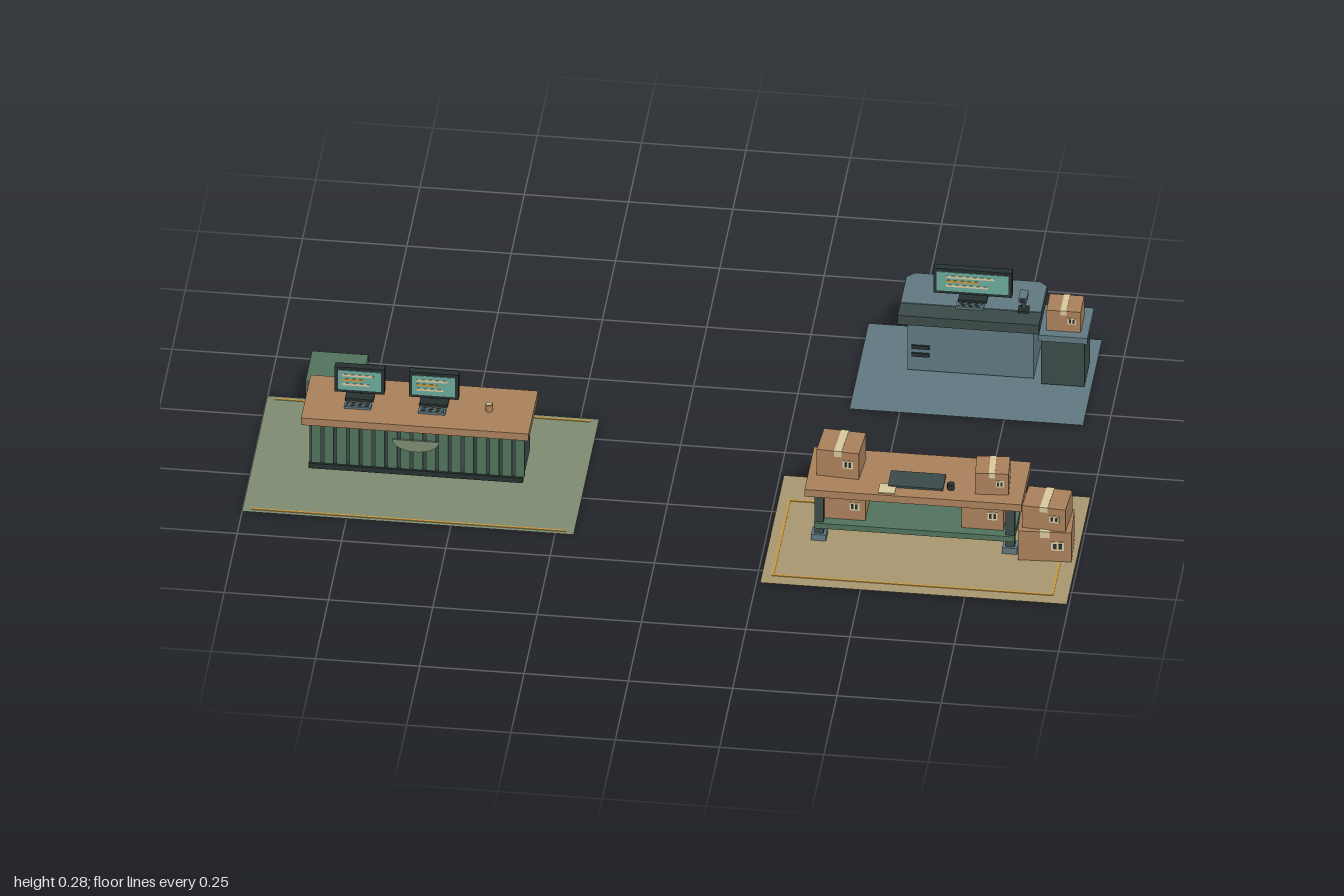
import * as THREE from 'three';

const mat = (name, color, side = THREE.FrontSide) => {
  const m = new THREE.MeshStandardMaterial({ color, side });
  m.name = name;
  return m;
};

export function createModel() {
  const root = new THREE.Group();
  root.name = 'workstations';
  const D = THREE.DoubleSide;
  const sage = mat('sage', 0x7d8a70, D), sand = mat('sand', 0xa8956f, D), slate = mat('slate', 0x5f7880, D);
  const charcoal = mat('charcoal', 0x3a4a48), forest = mat('forest', 0x50725c), wood = mat('wood', 0xa9805a);
  const cream = mat('cream', 0xd6c79c), teal = mat('teal', 0x6aa89b), amber = mat('amber', 0xc8973c);
  const black = mat('black', 0x26312f);

  const group = (name, parent = root) => {
    const g = new THREE.Group();
    g.name = name;
    parent.add(g);
    return g;
  };
  const add = (parent, name, geo, m, x = 0, y = 0, z = 0) => {
    const mesh = new THREE.Mesh(geo, m);
    mesh.name = name;
    mesh.position.set(x, y, z);
    parent.add(mesh);
    return mesh;
  };
  // Box given by its limits on each axis
  const block = (p, name, m, x0, x1, y0, y1, z0, z1) =>
    add(p, name, new THREE.BoxGeometry(x1 - x0, y1 - y0, z1 - z0), m, (x0 + x1) / 2, (y0 + y1) / 2, (z0 + z1) / 2);
  const rod = (p, name, m, r, h, x, y, z, n = 12) => add(p, name, new THREE.CylinderGeometry(r, r, h, n), m, x, y + h / 2, z);
  const floorMat = (p, m, x0, x1, z0, z1) =>
    add(p, 'floorMat', new THREE.PlaneGeometry(x1 - x0, z1 - z0).rotateX(-Math.PI / 2), m, (x0 + x1) / 2, 0.003, (z0 + z1) / 2);

  // Monitor on a stand; y is the desk surface
  const monitor = (p, x, y, z, w, bottom, top) => {
    const g = group('monitor', p);
    g.position.set(x, y, z);
    const h = top - bottom, c = (top + bottom) / 2 - y;
    block(g, 'monitorFoot', black, -0.034, 0.034, 0, 0.006, -0.022, 0.018);
    block(g, 'monitorNeck', black, -0.009, 0.009, 0.006, c, -0.016, -0.007);
    block(g, 'monitorBack', charcoal, -w * 0.2, w * 0.2, c - h * 0.28, c + h * 0.28, -0.02, -0.008);
    block(g, 'monitorCase', black, -w / 2, w / 2, c - h / 2, c + h / 2, -0.008, 0.011);
    block(g, 'screen', teal, -w / 2 + 0.008, w / 2 - 0.008, c - h / 2 + 0.008, c + h / 2 - 0.008, 0.01, 0.0125);
    [0.62, 0.42, 0.54].forEach((len, i) => {
      const yy = c + h * (0.2 - i * 0.18);
      block(g, 'screenLine', i === 1 ? amber : cream, -w * 0.34, w * (len - 0.34), yy - 0.003, yy + 0.003, 0.012, 0.0135);
    });
  };

  const keyboard = (p, x, y, z, w, d) => {
    block(p, 'keyboard', slate, x - w / 2, x + w / 2, y, y + 0.006, z - d / 2, z + d / 2);
    for (let i = -1; i <= 1; i++)
      block(p, 'keyRow', charcoal, x - w * 0.44, x + w * 0.44, y + 0.006, y + 0.0068, z + i * d * 0.27 - 0.0015, z + i * d * 0.27 + 0.0015);
  };

  // Taped carton with a front label
  const carton = (p, x, y, z, w, h, d, turn = 0) => {
    const g = group('carton', p);
    g.position.set(x, y, z);
    g.rotation.y = turn;
    block(g, 'cartonBody', wood, -w / 2, w / 2, 0, h, -d / 2, d / 2);
    block(g, 'cartonTape', cream, -w * 0.09, w * 0.09, h, h + 0.0015, -d / 2, d / 2);
    for (const s of [-1, 1])
      block(g, 'tapeEnd', cream, -w * 0.09, w * 0.09, h * 0.8, h + 0.0015, s * d / 2 - 0.0012, s * d / 2 + 0.0012);
    block(g, 'label', cream, w * 0.12, w * 0.36, h * 0.38, h * 0.68, d / 2, d / 2 + 0.0015);
    block(g, 'labelMark', black, w * 0.16, w * 0.22, h * 0.44, h * 0.62, d / 2 + 0.001, d / 2 + 0.0025);
    block(g, 'labelMark', black, w * 0.26, w * 0.32, h * 0.44, h * 0.62, d / 2 + 0.001, d / 2 + 0.0025);
  };

  // Reception desk
  const rec = group('receptionDesk');
  floorMat(rec, sage, -1, -0.205, -0.08, 0.41);
  for (const z of [-0.068, 0.397]) block(rec, 'matStripe', amber, -0.98, -0.225, 0.003, 0.0045, z - 0.003, z + 0.003);
  block(rec, 'deskBody', charcoal, -0.862, -0.352, 0.009, 0.123, 0.073, 0.213);
  block(rec, 'frontPanel', charcoal, -0.862, -0.352, 0.009, 0.143, 0.205, 0.215);
  for (let i = 0; i < 17; i++) {
    const x = -0.846 + i * 0.0305;
    block(rec, 'slat', forest, x - 0.0115, x + 0.0115, 0.028, 0.136, 0.214, 0.221);
  }
  block(rec, 'kickStrip', black, -0.864, -0.35, 0.012, 0.026, 0.213, 0.223);
  // Half-round badge
  const half = new THREE.Shape();
  half.absellipse(0, 0, 0.056, 0.032, Math.PI, Math.PI * 2, false);
  half.closePath();
  add(rec, 'badge', new THREE.ExtrudeGeometry(half, { depth: 0.004, bevelEnabled: false, curveSegments: 16 }), sage, -0.607, 0.113, 0.221);
  block(rec, 'deskTop', wood, -0.88, -0.335, 0.143, 0.163, 0.052, 0.235);
  for (const x of [-0.752, -0.574]) {
    monitor(rec, x, 0.163, 0.13, 0.119, 0.182, 0.253);
    keyboard(rec, x, 0.163, 0.17, 0.065, 0.024);
  }
  rod(rec, 'cup', wood, 0.009, 0.018, -0.44, 0.163, 0.147);
  rod(rec, 'cupFill', cream, 0.006, 0.001, -0.44, 0.181, 0.147);

  // Drawer cabinet behind the reception desk
  const cab = group('drawerCabinet');
  block(cab, 'cabinetBody', forest, -0.9, -0.765, 0.004, 0.104, -0.134, -0.006);
  for (let i = 0; i < 3; i++) {
    const y = 0.012 + i * 0.03;
    block(cab, 'drawerFront', wood, -0.896, -0.769, y, y + 0.027, -0.006, -0.002);
    block(cab, 'drawerHandle', black, -0.845, -0.82, y + 0.012, y + 0.017, -0.002, 0.004);
  }

  // Packing bench
  const pack = group('packingBench');
  floorMat(pack, sand, 0.26, 0.995, 0.1, 0.555);
  for (const x of [0.286, 0.956]) block(pack, 'matLine', amber, x - 0.003, x + 0.003, 0.003, 0.0045, 0.2, 0.523);
  for (const z of [0.203, 0.52]) block(pack, 'matLine', amber, 0.286, 0.956, 0.003, 0.0045, z - 0.003, z + 0.003);
  block(pack, 'benchTop', wood, 0.345, 0.865, 0.141, 0.161, 0.2, 0.382);
  for (const x of [0.376, 0.834]) {
    for (const z of [0.24, 0.345]) {
      block(pack, 'benchLeg', charcoal, x - 0.011, x + 0.011, 0.02, 0.141, z - 0.011, z + 0.011);
      block(pack, 'benchFoot', slate, x - 0.018, x + 0.018, 0.001, 0.02, z - 0.017, z + 0.017);
      block(pack, 'footPad', black, x - 0.014, x + 0.014, 0, 0.002, z - 0.013, z + 0.013);
    }
    block(pack, 'sideRail', charcoal, x - 0.007, x + 0.007, 0.125, 0.141, 0.24, 0.345);
  }
  for (const z of [0.24, 0.345]) block(pack, 'topRail', charcoal, 0.376, 0.834, 0.126, 0.141, z - 0.006, z + 0.006);
  block(pack, 'lowerShelf', forest, 0.365, 0.845, 0.038, 0.053, 0.215, 0.362);
  carton(pack, 0.435, 0.053, 0.29, 0.1, 0.074, 0.095);
  carton(pack, 0.766, 0.053, 0.29, 0.1, 0.074, 0.095);
  carton(pack, 0.42, 0.161, 0.276, 0.102, 0.074, 0.09, -0.07);
  carton(pack, 0.787, 0.161, 0.311, 0.08, 0.06, 0.074, 0.07);
  carton(pack, 0.918, 0.005, 0.333, 0.128, 0.083, 0.1, 0.05);
  carton(pack, 0.92, 0.088, 0.331, 0.105, 0.063, 0.085, -0.07);
  block(pack, 'cuttingMat', charcoal, 0.54, 0.672, 0.161, 0.166, 0.283, 0.347);
  block(pack, 'paper', cream, 0.52, 0.56, 0.161, 0.164, 0.337, 0.376);
  rod(pack, 'tapeRoll', black, 0.009, 0.015, 0.69, 0.161, 0.335);

  // Service counter
  const serv = group('serviceCounter');
  floorMat(serv, slate, 0.38, 0.94, -0.56, -0.197);
  block(serv, 'counterBody', slate, 0.498, 0.8, 0.009, 0.161, -0.51, -0.37);
  for (const y of [0.05, 0.072]) block(serv, 'vent', black, 0.507, 0.55, y, y + 0.01, -0.37, -0.366);
  // Counter slab with clipped back corners
  const slab = (x0, x1, zf, zb, cut) => {
    const pts = [[x0, -zf], [x1, -zf], [x1, -zb - cut], [x1 - cut, -zb], [x0 + cut, -zb], [x0, -zb - cut]];
    return new THREE.Shape(pts.map(([x, y]) => new THREE.Vector2(x, y)));
  };
  const plate = (name, shape, depth, m, y) =>
    add(serv, name, new THREE.ExtrudeGeometry(shape, { depth, bevelEnabled: false }).rotateX(-Math.PI / 2), m, 0, y, 0);
  plate('counterTop', slab(0.478, 0.817, -0.335, -0.517, 0.018), 0.026, charcoal, 0.161);
  plate('counterInlay', slab(0.48, 0.815, -0.388, -0.515, 0.018), 0.002, slate, 0.187);
  block(serv, 'sideCabinet', charcoal, 0.82, 0.924, 0.009, 0.137, -0.456, -0.35);
  block(serv, 'sideCabinetTop', slate, 0.815, 0.932, 0.137, 0.154, -0.472, -0.342);
  carton(serv, 0.872, 0.154, -0.4, 0.082, 0.058, 0.07);
  monitor(serv, 0.648, 0.189, -0.425, 0.188, 0.206, 0.276);
  keyboard(serv, 0.645, 0.189, -0.388, 0.066, 0.022);
  // Scanner on a post
  block(serv, 'scannerBase', black, 0.76, 0.786, 0.189, 0.194, -0.405, -0.378);
  rod(serv, 'scannerPost', charcoal, 0.005, 0.032, 0.773, 0.192, -0.393, 8);
  block(serv, 'scannerHead', slate, 0.763, 0.783, 0.222, 0.235, -0.41, -0.373);
  block(serv, 'scannerWindow', black, 0.766, 0.78, 0.225, 0.232, -0.373, -0.371);

  return root;
}
